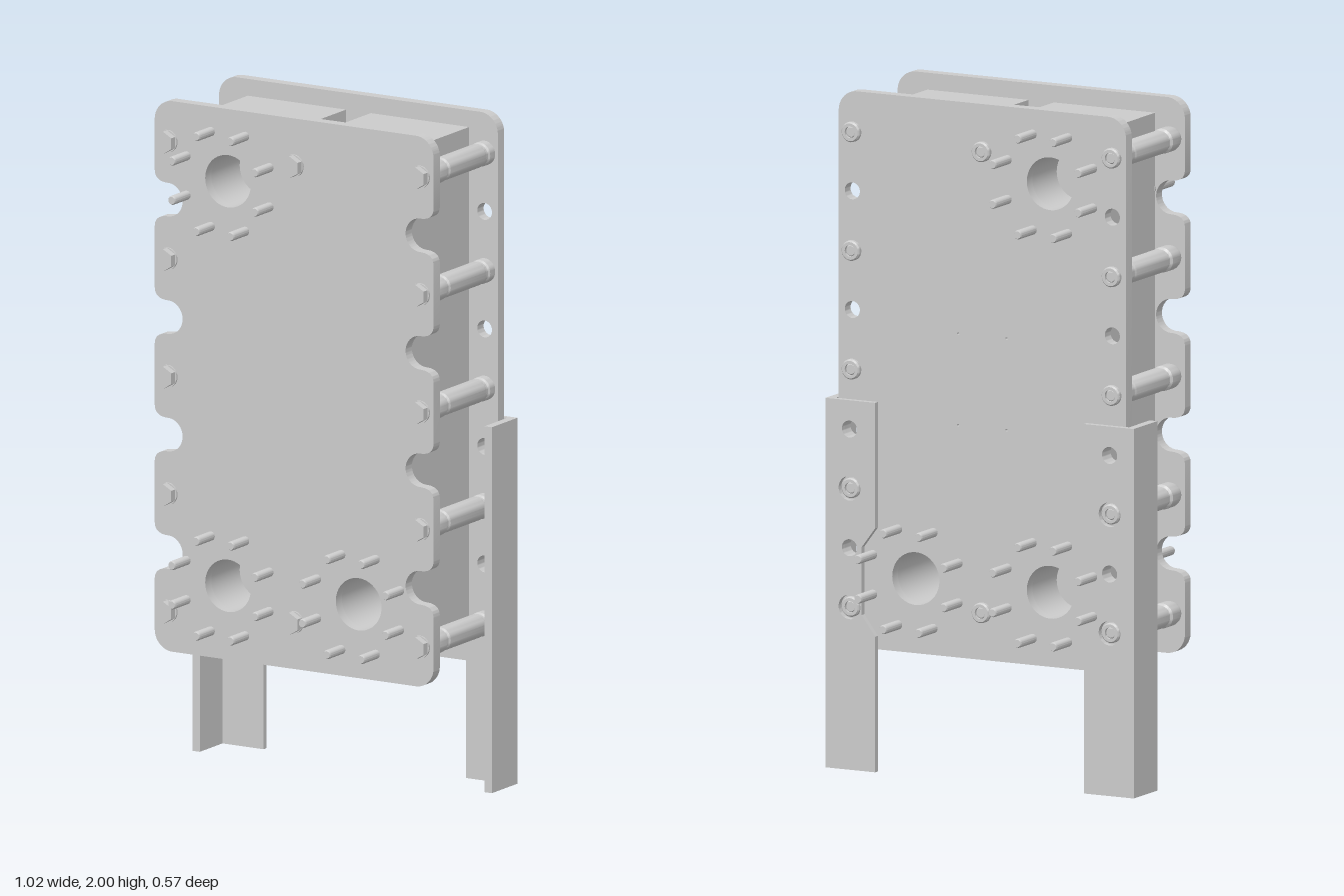
import * as THREE from 'three';
import { toCreasedNormals } from 'three/addons/utils/BufferGeometryUtils.js';

const mat = new THREE.MeshStandardMaterial({ color: 0xcccccc });
const W = 0.475, Y0 = 0.36, Y1 = 2, R = 0.06, EDGE = 0.43;
const notchYs = [0.655, 1.005, 1.355, 1.705];
const boltYs = [0.48, 0.83, 1.18, 1.53, 1.88];
const ports = [[-0.225, 1.785], [-0.225, 0.58], [0.22, 0.58]];
const PORT_R = 0.078;

function add(parent, geo, name, x = 0, y = 0, z = 0) {
  const m = new THREE.Mesh(geo, mat);
  m.name = name;
  m.position.set(x, y, z);
  parent.add(m);
  return m;
}

function hole(shape, x, y, r) {
  shape.holes.push(new THREE.Path().absarc(x, y, r, 0, Math.PI * 2, true));
}

// Extrude a shape from z0 to z1
function slab(shape, z0, z1) {
  const g = new THREE.ExtrudeGeometry(shape, { depth: z1 - z0, bevelEnabled: false, curveSegments: 20 });
  g.translate(0, 0, z0);
  return toCreasedNormals(g, 0.5);
}

// Lathe around the z axis from [radius, z] pairs
function turned(points, sides = 28) {
  const g = new THREE.LatheGeometry(points.map(p => new THREE.Vector2(...p)), sides);
  g.rotateX(Math.PI / 2);
  return toCreasedNormals(g, 0.5);
}

// Rounded end plate, optionally with scalloped long edges
function plateShape(scalloped) {
  const s = new THREE.Shape(), H = Math.PI / 2, n = 0.05, f = 0.085;
  s.moveTo(-W + R, Y0);
  s.absarc(W - R, Y0 + R, R, -H, 0, false);
  if (scalloped) for (const y of notchYs) {
    s.lineTo(W, y - f);
    s.quadraticCurveTo(W, y - n, EDGE, y - n);
    s.absarc(EDGE, y, n, -H, H, true);
    s.quadraticCurveTo(W, y + n, W, y + f);
  }
  s.absarc(W - R, Y1 - R, R, 0, H, false);
  s.absarc(-W + R, Y1 - R, R, H, 2 * H, false);
  if (scalloped) for (const y of [...notchYs].reverse()) {
    s.lineTo(-W, y + f);
    s.quadraticCurveTo(-W, y + n, -EDGE, y + n);
    s.absarc(-EDGE, y, n, H, -H, true);
    s.quadraticCurveTo(-W, y - n, -W, y - f);
  }
  s.absarc(-W + R, Y0 + R, R, 2 * H, 3 * H, false);
  for (const [x, y] of ports) hole(s, x, y, PORT_R);
  return s;
}

// Block of plates between the end plates, slotted top and bottom for the centre bolts
function coreShape() {
  const x = 0.377, b = 0.42, t = 1.95, w = 0.042;
  const s = new THREE.Shape([
    [-x, b], [-w, b], [-w, 0.545], [w, 0.545], [w, b], [x, b],
    [x, t], [w, t], [w, 1.815], [-w, 1.815], [-w, t], [-x, t],
  ].map(p => new THREE.Vector2(...p)));
  for (const [px, py] of ports) hole(s, px, py, PORT_R);
  return s;
}

// Angle leg on the +x side
function makeLeg() {
  const leg = new THREE.Group();
  // Back flange, cut away beside the port studs
  const s = new THREE.Shape([
    [0.345, 0], [0.51, 0], [0.51, 1.09], [0.345, 1.09],
    [0.345, 0.72], [0.39, 0.66], [0.39, 0.46], [0.345, 0.4],
  ].map(p => new THREE.Vector2(...p)));
  for (const y of [0.655, 1.005]) hole(s, EDGE, y, 0.025);
  for (const y of [0.48, 0.83]) hole(s, EDGE, y, 0.036);
  add(leg, slab(s, -0.207, -0.19), 'legBackFlange');
  add(leg, new THREE.BoxGeometry(0.025, 1.09, 0.142), 'legSideFlange', 0.4975, 0.545, -0.136);
  return leg;
}

export function createModel() {
  const model = new THREE.Group();
  model.name = 'plateHeatExchanger';

  // End plates
  add(model, slab(plateShape(true), 0.165, 0.2), 'frontPlate');
  const back = plateShape(false);
  for (const x of [-EDGE, EDGE]) for (const y of notchYs) hole(back, x, y, 0.025);
  for (const x of [-0.08, 0.08]) for (const y of [1.045, 1.315]) hole(back, x, y, 0.004);
  add(model, slab(back, -0.19, -0.155), 'backPlate');

  // Core with two blind ports
  add(model, slab(coreShape(), -0.156, 0.166), 'core');
  for (const [x, y] of ports.slice(0, 2)) {
    const g = new THREE.CylinderGeometry(PORT_R, PORT_R, 0.02, 32).rotateX(Math.PI / 2);
    add(model, g, 'portBlank', x, y, 0);
  }

  // Tie bolts: grooved sleeve, washer, hex head and hollow end
  const sleeve = turned([
    [0, -0.16], [0.036, -0.16], [0.036, -0.128], [0.032, -0.122], [0.032, -0.112], [0.035, -0.106],
    [0.035, 0.088], [0.031, 0.094], [0.031, 0.102], [0.037, 0.108], [0.037, 0.152], [0.033, 0.166], [0, 0.166],
  ]);
  const end = turned([
    [0.017, -0.192], [0.017, -0.205], [0.026, -0.205], [0.03, -0.2], [0.03, -0.185],
  ]);
  const tip = turned([[0, -0.2], [0.014, -0.2], [0.017, -0.196], [0.017, -0.185]]);
  const washer = turned([[0.033, 0.195], [0.033, 0.206], [0, 0.206]]);
  const head = toCreasedNormals(new THREE.CylinderGeometry(0.033, 0.033, 0.024, 6).rotateX(Math.PI / 2), 0.5);
  const bolts = [[0, 1.86], [0, 0.5]];
  for (const y of boltYs) bolts.push([-EDGE, y], [EDGE, y]);
  for (const [x, y] of bolts) {
    const bolt = new THREE.Group();
    bolt.name = 'tieBolt';
    add(bolt, sleeve, 'boltSleeve');
    add(bolt, end, 'boltEndRing');
    add(bolt, tip, 'boltTip');
    add(bolt, washer, 'boltWasher');
    add(bolt, head, 'boltHead', 0, 0, 0.216);
    bolt.position.set(x, y, 0);
    model.add(bolt);
  }

  // Eight studs around every port, front and back
  const stud = turned([
    [0, 0.16], [0.0135, 0.16], [0.0135, 0.278], [0.011, 0.283], [0, 0.283],
  ], 16);
  for (const [px, py] of ports) for (let i = 0; i < 8; i++) {
    const a = (i + 0.5) * Math.PI / 4;
    const x = px + 0.153 * Math.cos(a), y = py + 0.153 * Math.sin(a);
    add(model, stud, 'frontStud', x, y, 0);
    add(model, stud, 'backStud', x, y, 0).rotation.y = Math.PI;
  }

  // Legs
  const left = makeLeg();
  left.name = 'leftLeg';
  const right = makeLeg();
  right.name = 'rightLeg';
  right.scale.x = -1;
  model.add(left, right);

  return model;
}
